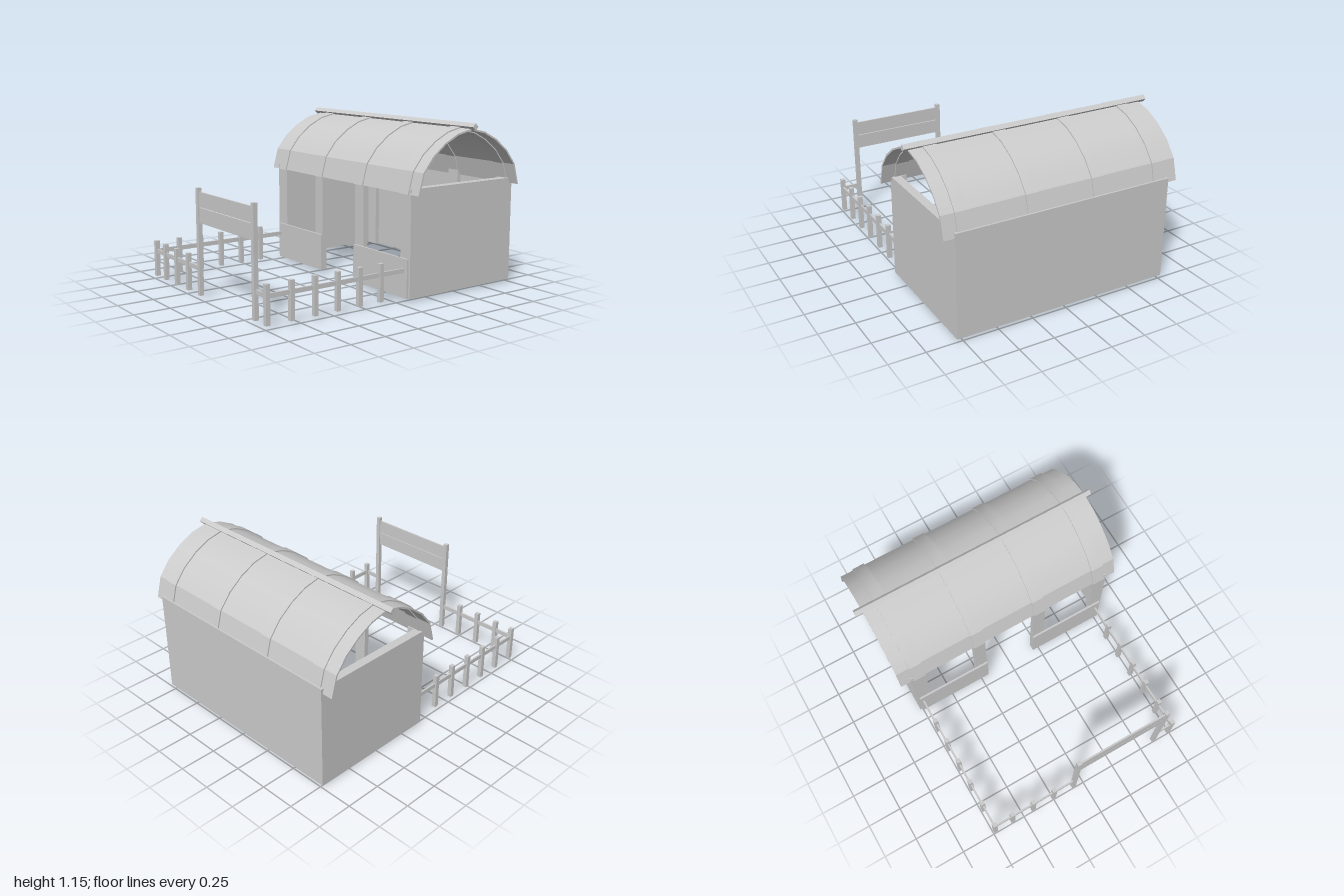
import * as THREE from 'three';
import { toCreasedNormals } from 'three/addons/utils/BufferGeometryUtils.js';
import { RoundedBoxGeometry } from 'three/addons/geometries/RoundedBoxGeometry.js';

const grey = new THREE.MeshStandardMaterial({ color: 0xcccccc, side: THREE.DoubleSide });

export function createModel() {
  const model = new THREE.Group();

  const add = (name, geometry) => {
    const mesh = new THREE.Mesh(geometry, grey);
    mesh.name = name;
    model.add(mesh);
    return mesh;
  };
  // Box given by its limits on each axis
  const box = (name, x0, x1, y0, y1, z0, z1) => {
    const mesh = add(name, new THREE.BoxGeometry(x1 - x0, y1 - y0, z1 - z0));
    mesh.position.set((x0 + x1) / 2, (y0 + y1) / 2, (z0 + z1) / 2);
    return mesh;
  };

  // Three closed walls with side beams on top
  box('backWall', -0.77, 0.79, 0.02, 0.745, -1, -0.988);
  box('rightWall', -0.77, -0.758, 0.02, 0.745, -0.988, -0.08);
  box('leftWall', 0.778, 0.79, 0.02, 0.745, -0.988, -0.08);
  box('rightBeam', -0.758, -0.71, 0.72, 0.745, -0.988, -0.08);
  box('leftBeam', 0.73, 0.778, 0.72, 0.745, -0.988, -0.08);

  // Wall posts at the front and back
  for (const [x0, x1] of [[-0.758, -0.66], [-0.28, -0.19], [0.2, 0.295], [0.69, 0.778]]) {
    box('frontPost', x0, x1, 0.02, 0.745, -0.115, -0.08);
    box('backPost', x0, x1, 0.02, 0.745, -0.988, -0.955);
  }

  // Low panels either side of the doorway
  box('frontPanel', -0.75, -0.19, 0.02, 0.285, -0.08, -0.066);
  box('frontPanel', 0.2, 0.775, 0.02, 0.285, -0.08, -0.066);

  // Arched roof: half profile from eave to ridge, as distance from ridge and height
  const half = [[0.455, 0.71], [0.415, 0.855], [0.335, 0.955], [0.232, 1.035], [0.122, 1.09], [0, 1.117]];
  const ridgeZ = -0.533;
  const arch = (name, x0, x1, inner, outer) => {
    const offset = (d) => {
      const side = half.map(([u, y], i) => {
        const grow = 1 + d / 0.46;
        return [u * grow, i === 0 ? y : 0.71 + (y - 0.71) * (1 + d / 0.41)];
      });
      const other = side.slice(0, -1).reverse().map(([u, y]) => [-u, y]);
      return [...side, ...other].map(([u, y]) => new THREE.Vector2(u - ridgeZ, y));
    };
    const shape = new THREE.Shape([...offset(outer), ...offset(inner).reverse()]);
    const geometry = new THREE.ExtrudeGeometry(shape, { depth: x1 - x0, bevelEnabled: false });
    geometry.rotateY(Math.PI / 2).translate(x0, 0, 0);
    add(name, toCreasedNormals(geometry, 0.3));
  };
  arch('roof', -0.845, 0.862, -0.012, 0);
  for (const x of [-0.75, -0.28, 0.2, 0.68]) arch('roofRib', x, x + 0.09, -0.02, 0.009);

  // Diamond-section ridge pole
  const ridge = add('ridgePole', new THREE.BoxGeometry(1.796, 0.034, 0.034));
  ridge.rotation.x = Math.PI / 4;
  ridge.position.set(0, 1.13, ridgeZ);

  // Bales inside: one in front of a stack of three
  const bale = (y, z) => {
    const mesh = add('bale', new RoundedBoxGeometry(0.4, 0.137, 0.2, 2, 0.02));
    mesh.position.set(0.53, y, z);
  };
  bale(0.0685, -0.635);
  for (let i = 0; i < 3; i++) bale(0.0685 + i * 0.137, -0.845);

  // Yard fence
  const stake = (name, x, z, top) =>
    box(name, x - 0.015, x + 0.015, 0.025, top, z - 0.015, z + 0.015);
  for (const x of [-0.73, 0.74]) {
    for (const z of [0.985, 0.81, 0.637, 0.466, 0.295, 0.124]) stake('fencePost', x, z, 0.28);
    box('sideRail', x - 0.006, x + 0.006, 0.19, 0.22, -0.07, 0.985);
  }
  for (const x of [-0.588, -0.418, -0.248]) stake('fencePost', x, 0.985, 0.28);
  box('frontRail', -0.73, -0.08, 0.19, 0.22, 0.979, 0.991);
  box('frontRail', 0.61, 0.74, 0.19, 0.22, 0.979, 0.991);

  // Gateway with two sign boards
  for (const x of [-0.08, 0.61]) stake('gatePost', x, 0.985, 0.745);
  box('gateBoard', -0.08, 0.61, 0.515, 0.616, 0.979, 0.991);
  box('gateBoard', -0.08, 0.61, 0.621, 0.72, 0.979, 0.991);

  return model;
}
